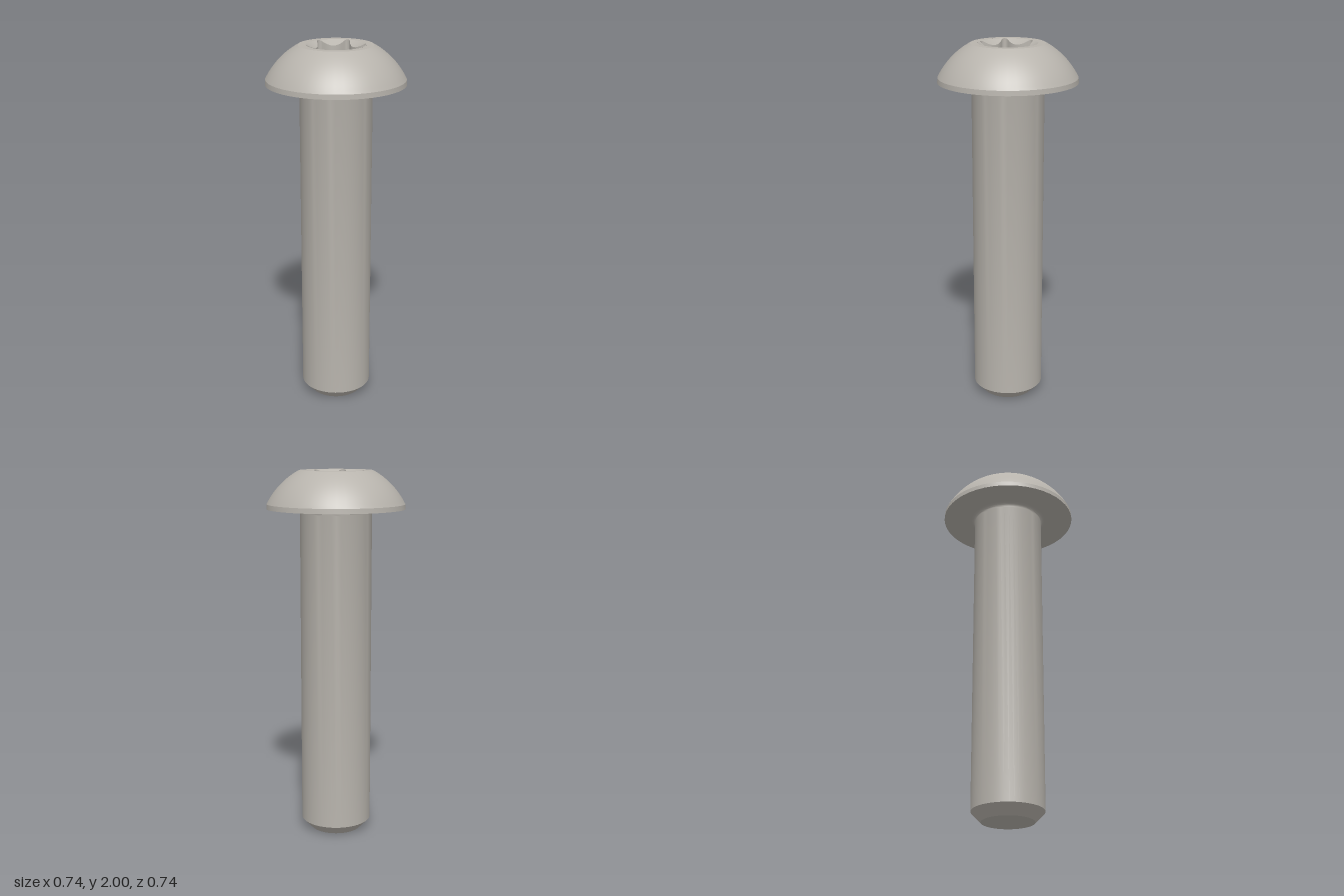
import * as THREE from 'three';
import { toCreasedNormals } from 'three/addons/utils/BufferGeometryUtils.js';

const SEGMENTS = 48;
const CREASE = 0.4;
const SOCKET_R = 0.157;

// Points along an arc, optionally elliptical
function arc(cx, cy, rx, ry, a0, a1, steps) {
  return Array.from({ length: steps + 1 }, (_, i) => {
    const a = a0 + ((a1 - a0) * i) / steps;
    return new THREE.Vector2(cx + rx * Math.cos(a), cy + ry * Math.sin(a));
  });
}

// Six-lobed outline: inward scallops tangent to small rounded tips
function starOutline() {
  const inner = 0.113, tip = 0.018;
  const lobeR = SOCKET_R - tip;
  const lx = lobeR * Math.cos(Math.PI / 6), ly = lobeR / 2;
  const k = inner - lx;
  const scallop = (k * k + ly * ly - tip * tip) / (2 * (tip - k));
  const centre = inner + scallop;
  const beta = Math.atan2(ly, lx - centre);
  const half = Math.PI - beta;
  const unit = [
    ...arc(centre, 0, scallop, scallop, Math.PI + half, beta, 8),
    ...arc(lx, ly, tip, tip, -half, Math.PI / 3 + half, 8).slice(1, -1),
  ];
  const origin = new THREE.Vector2();
  const points = [];
  for (let i = 0; i < 6; i++) {
    for (const p of unit) points.push(p.clone().rotateAround(origin, (i * Math.PI) / 3));
  }
  return points;
}

// Countersink, star-shaped walls and conical floor
function socketGeometry() {
  const outline = starOutline();
  const n = outline.length;
  const positions = [], index = [];
  const floorY = 1.88;
  for (const p of outline) {
    const r = p.length(), s = SOCKET_R / r;
    positions.push(p.x * s, 2, p.y * s);
    positions.push(p.x, 2 - 0.6 * (SOCKET_R - r), p.y);
    positions.push(p.x, floorY, p.y);
    positions.push(0, floorY - 0.05, 0);
  }
  for (let i = 0; i < n; i++) {
    const a = i * 4, b = ((i + 1) % n) * 4;
    for (let j = 0; j < 3; j++) {
      index.push(a + j, b + j, a + j + 1);
      if (j < 2) index.push(b + j, b + j + 1, a + j + 1);
    }
  }
  const g = new THREE.BufferGeometry();
  g.setAttribute('position', new THREE.Float32BufferAttribute(positions, 3));
  g.setIndex(index);
  return toCreasedNormals(g, CREASE);
}

export function createModel() {
  const steel = new THREE.MeshStandardMaterial({ color: 0xb8b4ad, side: THREE.DoubleSide });
  steel.name = 'steel';
  const group = new THREE.Group();
  group.name = 'buttonHeadScrew';

  const add = (name, geometry) => {
    const mesh = new THREE.Mesh(geometry, steel);
    mesh.name = name;
    group.add(mesh);
  };
  const lathe = (points) => toCreasedNormals(new THREE.LatheGeometry(points, SEGMENTS), CREASE);
  const v = (x, y) => new THREE.Vector2(x, y);

  // Shank with chamfered end and a fillet under the head
  add('shank', lathe([
    v(0, 0), v(0.14, 0), v(0.193, 0.055),
    ...arc(0.213, 1.772, 0.02, 0.025, Math.PI, Math.PI / 2, 6),
  ]));

  // Domed head: flat underside, short rim, spherical dome, flat ring
  const domeY = 1.635;
  const domeR = Math.hypot(0.37, 1.823 - domeY);
  add('head', lathe([
    v(0.213, 1.797), v(0.372, 1.797),
    ...arc(0, domeY, domeR, domeR, Math.atan2(1.823 - domeY, 0.37), Math.asin((2 - domeY) / domeR), 12),
    v(SOCKET_R, 2),
  ]));

  add('driveSocket', socketGeometry());
  return group;
}
